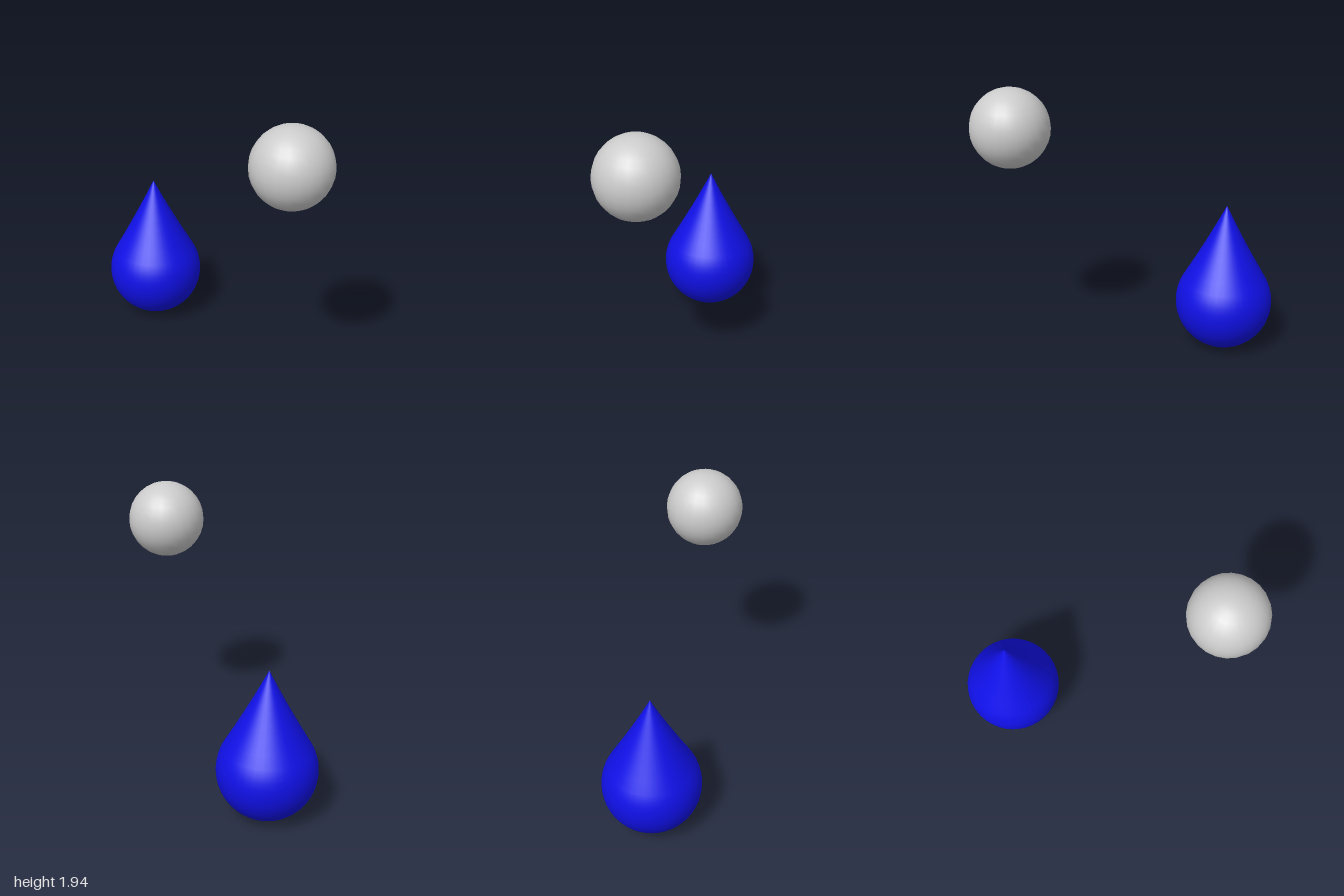
import * as THREE from 'three';

export function createModel() {
  const model = new THREE.Group();

  // Drop: spherical lower part, slightly concave cone up to a sharp tip
  const radius = 0.342;
  const profile = [];
  for (let i = 0; i <= 16; i++) {
    const a = -Math.PI / 2 + (i / 16) * (Math.PI * 2 / 3);
    profile.push(new THREE.Vector2(i === 0 ? 0 : radius * Math.cos(a), radius * (1 + Math.sin(a))));
  }
  const flank = new THREE.QuadraticBezierCurve(
    profile[16].clone(), new THREE.Vector2(0.138, 0.785), new THREE.Vector2(0, 1.07));
  profile.push(...flank.getPoints(8).slice(1));
  const drop = new THREE.Mesh(
    new THREE.LatheGeometry(profile, 40),
    new THREE.MeshStandardMaterial({ color: 0x1010e8 }));
  drop.name = 'drop';
  drop.position.set(-0.204, 0, -0.658);
  model.add(drop);

  // Floating ball
  const ball = new THREE.Mesh(
    new THREE.SphereGeometry(0.27, 24, 16),
    new THREE.MeshStandardMaterial({ color: 0xcccccc }));
  ball.name = 'ball';
  ball.position.set(0.275, 1.665, 0.73);
  model.add(ball);

  return model;
}
